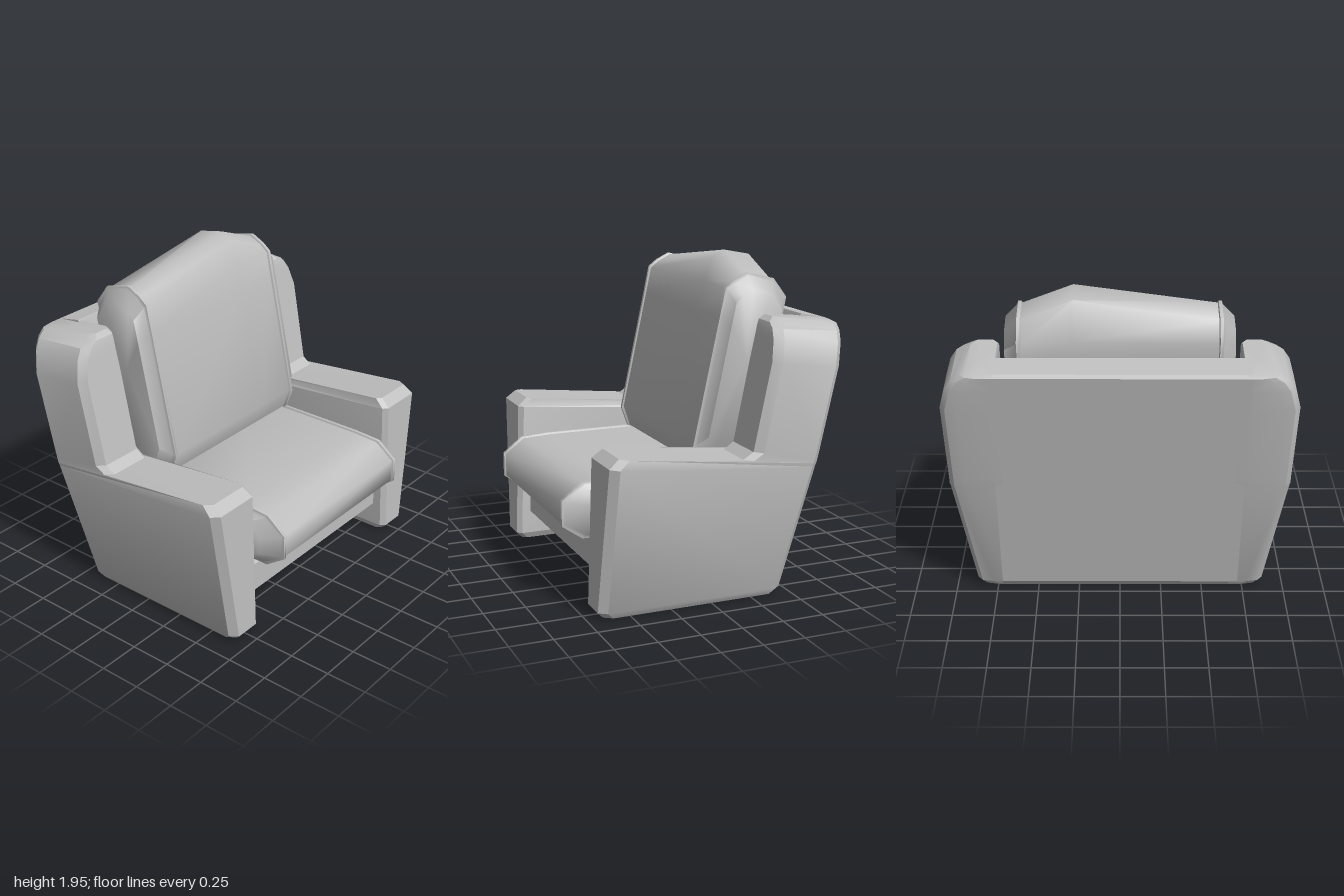
import * as THREE from 'three';
import { toCreasedNormals } from 'three/addons/utils/BufferGeometryUtils.js';

// Closed solid through loops of [x, y, z] points, capped at both ends
function loft(rows, crease) {
  const n = rows[0].length;
  const pts = rows.flat();
  const idx = [];
  for (let r = 0; r < rows.length - 1; r++) {
    for (let i = 0; i < n; i++) {
      const a = r * n + i, b = r * n + (i + 1) % n;
      idx.push([a, b, b + n], [a, b + n, a + n]);
    }
  }
  [0, rows.length - 1].forEach((r) => {
    const c = [0, 1, 2].map((k) => rows[r].reduce((s, p) => s + p[k], 0) / n);
    const ci = pts.push(c) - 1;
    for (let i = 0; i < n; i++) {
      const a = r * n + i, b = r * n + (i + 1) % n;
      idx.push(r === 0 ? [ci, b, a] : [ci, a, b]);
    }
  });
  // turn the faces outward whatever the loop direction
  const v = pts.map((p) => new THREE.Vector3(...p));
  let volume = 0;
  for (const [a, b, c] of idx) volume += v[a].dot(v[b].clone().cross(v[c]));
  if (volume < 0) idx.forEach((t) => t.reverse());
  const g = new THREE.BufferGeometry();
  g.setAttribute('position', new THREE.Float32BufferAttribute(pts.flat(), 3));
  g.setIndex(idx.flat());
  return toCreasedNormals(g, crease);
}

// Cushion: a [z, y, lift] profile swept in x, with piping ridges and drawn-in ends
function cushion(profile, centre, half, endInset, place, stations) {
  return loft(stations.map(({ x, inset, lift = 0 }) => {
    const [dz, dy] = inset === 'end' ? endInset : [inset, inset];
    return profile.map(([z, y, w = 0]) => {
      const pz = centre[0] + (z - centre[0]) * (1 - dz / half[0]);
      const py = centre[1] + (y - centre[1]) * (1 - dy / half[1]);
      const q = place(pz, py);
      return [x, q[1] + w * lift, q[0]];
    });
  }), 1.0);
}

// Side shell, from floor to wing top:
// zBack, yBack, zFront, yFront, outer x at back, outer x at front, inner x
const SIDE = [
  [-0.42, 0.00, 0.65, 0.00, 0.85, 0.85, 0.68],
  [-0.45, 0.04, 0.69, 0.04, 0.875, 0.875, 0.66],
  [-0.61, 0.78, 0.66, 0.89, 0.985, 0.995, 0.66],
  [-0.615, 0.80, 0.60, 0.94, 0.99, 0.98, 0.675],
  [-0.62, 0.82, -0.14, 0.86, 0.99, 0.985, 0.675],
  [-0.63, 0.86, -0.20, 0.90, 0.99, 0.99, 0.675],
  [-0.735, 1.35, -0.30, 1.40, 1.0, 1.0, 0.68],
  [-0.763, 1.48, -0.324, 1.52, 0.965, 0.965, 0.685],
  [-0.776, 1.54, -0.336, 1.58, 0.925, 0.925, 0.685],
  [-0.785, 1.575, -0.345, 1.605, 0.875, 0.875, 0.685],
  [-0.76, 1.59, -0.38, 1.63, 0.84, 0.84, 0.69],
];

function sideShell(sign) {
  return loft(SIDE.map(([zB, yB, zF, yF, xB, xF, xi]) => [
    [xi, zB], [xB - 0.1, zB], [xB - 0.03, zB + 0.015], [xB, zB + 0.05],
    [xF, zF - 0.05], [xF - 0.035, zF], [xi + 0.025, zF], [xi, zF - 0.03],
  ].map(([x, z]) => [sign * x, yB + (yF - yB) * (z - zB) / (zF - zB), z])), 0.45);
}

export function createModel() {
  const fabric = new THREE.MeshStandardMaterial({ color: 0xbfbfbf });
  fabric.name = 'grey fabric';
  const model = new THREE.Group();
  model.name = 'armchair';

  const add = (name, geometry, x = 0, y = 0, z = 0) => {
    const mesh = new THREE.Mesh(geometry, fabric);
    mesh.name = name;
    mesh.position.set(x, y, z);
    model.add(mesh);
  };

  // Arms with their wings
  add('leftArm', sideShell(1));
  add('rightArm', sideShell(-1));

  // Sloping back panel between the wings: zBack, yBack, zFront, yFront
  const back = [
    [-0.42, 0.00, -0.28, 0.00],
    [-0.45, 0.04, -0.26, 0.04],
    [-0.785, 1.575, -0.605, 1.61],
    [-0.76, 1.59, -0.61, 1.62],
  ].map(([zB, yB, zF, yF]) => [
    [-0.72, yB, zB], [0.72, yB, zB], [0.72, yF, zF], [-0.72, yF, zF],
  ]);
  add('backPanel', loft(back, 0.3));

  // Front rail with a chamfered top edge, seat deck and recessed plinth
  const rail = [-0.67, 0.67].map((x) => [
    [0.60, 0.185], [0.60, 0.365], [0.575, 0.395], [0.45, 0.395], [0.45, 0.185],
  ].map(([z, y]) => [x, y, z]));
  add('frontRail', loft(rail, 0.3));
  add('seatDeck', new THREE.BoxGeometry(1.34, 0.19, 0.86), 0, 0.295, 0.04);
  add('plinth', new THREE.BoxGeometry(1.34, 0.19, 0.1), 0, 0.11, 0.36);

  // Loops along x shared by both cushions; the piping stands slightly proud
  const ends = (s) => [
    { x: s * 0.645, inset: 'end' },
    { x: s * 0.575, inset: 0.008 },
    { x: s * 0.572, inset: -0.01 },
    { x: s * 0.553, inset: -0.01 },
    { x: s * 0.548, inset: 0 },
  ];

  // Seat cushion
  const seat = [
    [0.67, 0.40], [0.79, 0.48], [0.79, 0.62], [0.67, 0.71], [0.5, 0.72],
    [-0.35, 0.72], [-0.4, 0.68], [-0.4, 0.44], [-0.35, 0.40], [0.5, 0.40],
  ];
  add('seatCushion', cushion(seat, [0.195, 0.56], [0.595, 0.16], [0.11, 0.04],
    (z, y) => [z, y], [...ends(-1), ...ends(1).reverse()]));

  // Leaning back cushion, its top rising to an off-centre crown
  const rest = [
    [0.012, 0.86], [0.012, 1.6], [0.012, 1.76, 0.15], [-0.03, 1.80, 1], [-0.10, 1.84, 1],
    [-0.27, 1.80, 1.08], [-0.373, 1.69, 0.1], [-0.375, 1.5], [-0.375, 0.8],
    [-0.3, 0.73], [-0.06, 0.73],
  ];
  add('backCushion', cushion(rest, [-0.18, 1.285], [0.19, 0.555], [0.04, 0.08],
    (z, y) => [z - 0.216 * (y - 0.73), y],
    [...ends(-1), { x: 0.26, inset: 0, lift: 0.11 }, ...ends(1).reverse()]));

  return model;
}
